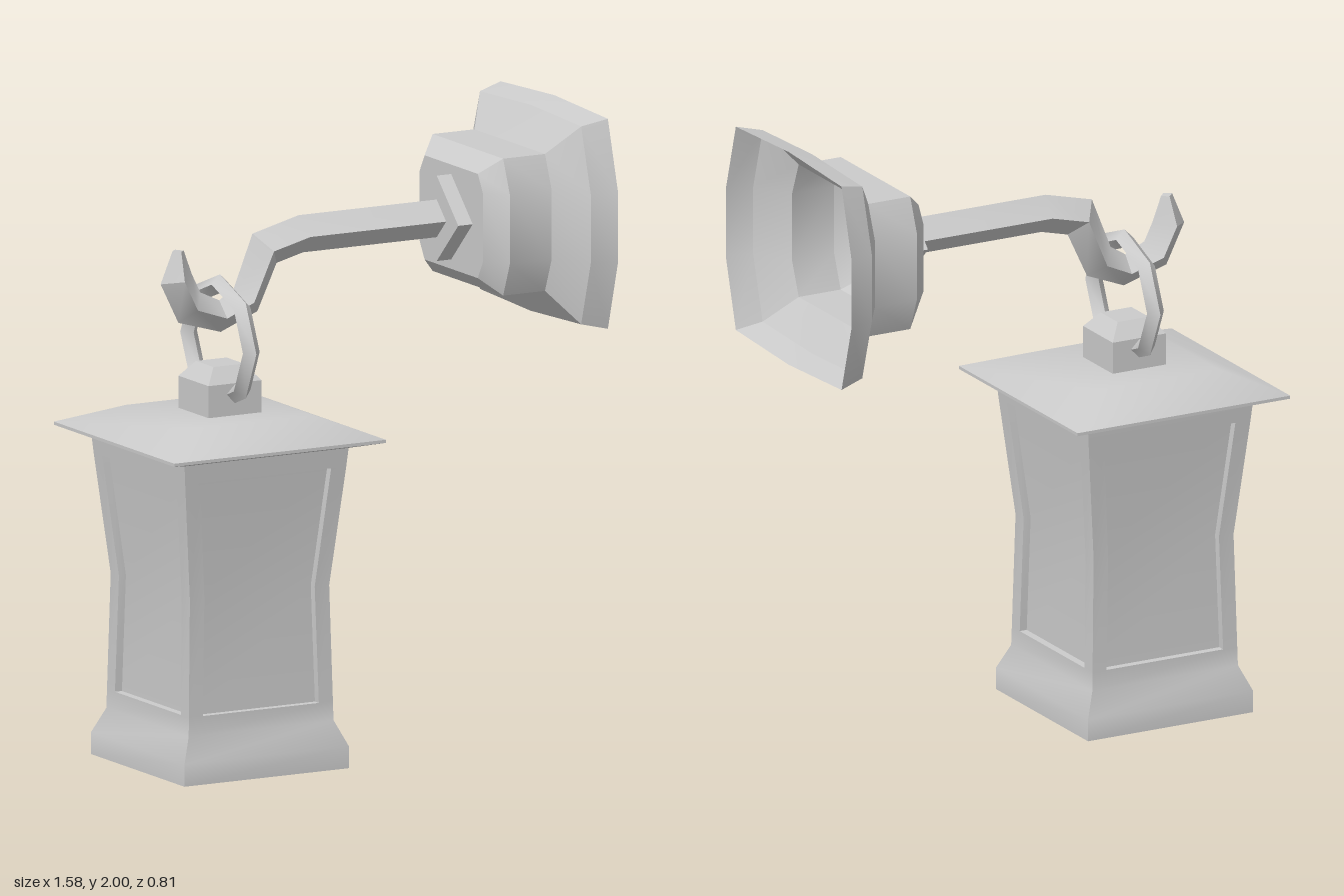
import * as THREE from 'three';
import { toCreasedNormals } from 'three/addons/utils/BufferGeometryUtils.js';

const V = (x, y, z) => new THREE.Vector3(x, y, z);
const AXIS_X = -0.41; // vertical axis of the hanging lantern
const ARM_Y = 1.65; // height of the arm and wall mount

function fromTriangles(points) {
  return toCreasedNormals(new THREE.BufferGeometry().setFromPoints(points), 0.6);
}

function quad(out, a, b, c, d) {
  out.push(a, b, c, a, c, d);
}

// Skin a row of equal-length rings, closing the ends where asked
function loft(rings, capStart = true, capEnd = true) {
  const out = [];
  const n = rings[0].length;
  for (let i = 0; i < rings.length - 1; i++) {
    for (let j = 0; j < n; j++) {
      const k = (j + 1) % n;
      quad(out, rings[i][j], rings[i][k], rings[i + 1][k], rings[i + 1][j]);
    }
  }
  const last = rings[rings.length - 1];
  for (let j = 1; j < n - 1; j++) {
    if (capStart) out.push(rings[0][0], rings[0][j + 1], rings[0][j]);
    if (capEnd) out.push(last[0], last[j], last[j + 1]);
  }
  return fromTriangles(out);
}

function squareRing([h, y]) {
  return [V(h, y, h), V(h, y, -h), V(-h, y, -h), V(-h, y, h)];
}

// One side of the lantern body: frame, window reveal and recessed pane
function lanternSide() {
  const out = [];
  const depth = 0.025;
  const P = (x, [w, y], inset = 0) => V(x, y, w - inset);
  const base = [[0.295, 0], [0.295, 0.07], [0.26, 0.15], [0.2585, 0.21]];
  const opening = [[0.2585, 0.21, 0.208], [0.25, 0.58, 0.198], [0.289, 0.96, 0.235]];
  const top = [[0.289, 0.96], [0.295, 1.025]];
  for (const rows of [base, top]) {
    for (let i = 0; i < rows.length - 1; i++) {
      const [a, b] = [rows[i], rows[i + 1]];
      quad(out, P(-a[0], a), P(a[0], a), P(b[0], b), P(-b[0], b));
    }
  }
  for (let i = 0; i < 2; i++) {
    const [a, b] = [opening[i], opening[i + 1]];
    const [p, q] = [a[2], b[2]];
    // stiles
    quad(out, P(-a[0], a), P(-p, a), P(-q, b), P(-b[0], b));
    quad(out, P(p, a), P(a[0], a), P(b[0], b), P(q, b));
    // reveals and pane
    quad(out, P(-p, a), P(-p, a, depth), P(-q, b, depth), P(-q, b));
    quad(out, P(p, a, depth), P(p, a), P(q, b), P(q, b, depth));
    quad(out, P(-p, a, depth), P(p, a, depth), P(q, b, depth), P(-q, b, depth));
  }
  // sill and head of the window
  const [s, , h] = opening;
  quad(out, P(-s[2], s), P(s[2], s), P(s[2], s, depth), P(-s[2], s, depth));
  quad(out, P(-h[2], h, depth), P(h[2], h, depth), P(h[2], h), P(-h[2], h));
  return fromTriangles(out);
}

// Diamond bar swept along a path of [x, y, radius] with mitred corners
function diamondBar(path) {
  const rings = path.map(([x, y, r], i) => {
    const prev = path[Math.max(i - 1, 0)];
    const next = path[Math.min(i + 1, path.length - 1)];
    const d1 = new THREE.Vector2(x - prev[0], y - prev[1]).normalize();
    const d2 = new THREE.Vector2(next[0] - x, next[1] - y).normalize();
    const d = d1.clone().add(d2).normalize();
    const miter = r / Math.max(d.dot(d1), d.dot(d2));
    const nx = d.y * miter;
    const ny = -d.x * miter;
    return [V(x, y, r), V(x + nx, y + ny, 0), V(x, y, -r), V(x - nx, y - ny, 0)];
  });
  return loft(rings);
}

// Ten-sided outline of the wall mount at one depth
function mountRing([x, hz, hy]) {
  const c = hy - Math.max(0, hy - 0.22) * 0.12;
  const half = [[hz, 0.11], [0.84 * hz, c], [0, hy], [-0.84 * hz, c], [-hz, 0.11]];
  return [...half, ...half.map(([z, y]) => [-z, -y])].map(([z, y]) => V(x, ARM_Y + y, z));
}

export function createModel() {
  const model = new THREE.Group();
  const grey = new THREE.MeshStandardMaterial({ color: 0xcccccc });
  const greyDouble = new THREE.MeshStandardMaterial({ color: 0xcccccc, side: THREE.DoubleSide });
  const add = (parent, name, geometry, material = grey) => {
    const mesh = new THREE.Mesh(geometry, material);
    mesh.name = name;
    parent.add(mesh);
    return mesh;
  };

  // Lantern: four windowed sides, floor, roof and top knob
  const lantern = new THREE.Group();
  lantern.name = 'lantern';
  lantern.position.x = AXIS_X;
  model.add(lantern);
  const side = lanternSide();
  for (let i = 0; i < 4; i++) {
    add(lantern, 'lanternSide', side).rotation.y = (i * Math.PI) / 2;
  }
  const floor = add(lantern, 'lanternFloor', new THREE.PlaneGeometry(0.59, 0.59));
  floor.rotation.x = Math.PI / 2;
  add(lantern, 'roof', loft([[0.295, 1.02], [0.38, 1.042], [0.38, 1.052], [0.215, 1.118]].map(squareRing)));
  add(lantern, 'knob', loft([[0.095, 1.1], [0.095, 1.22], [0.055, 1.27]].map(squareRing)));

  // Hanging ring, standing across the arm
  const ringGeometry = toCreasedNormals(new THREE.TorusGeometry(0.185, 0.03, 4, 8), 0.6);
  const ring = add(lantern, 'hangingRing', ringGeometry);
  ring.rotation.y = Math.PI / 2;
  ring.scale.x = 1.07;
  ring.position.y = 1.335;

  // Arm ending in an upturned hook
  add(model, 'armHook', diamondBar([
    [0.43, ARM_Y, 0.06], [-0.12, ARM_Y, 0.06], [-0.25, 1.617, 0.06],
    [-0.318, 1.46, 0.055], [-0.41, 1.417, 0.047], [-0.52, 1.455, 0.055],
    [-0.567, 1.55, 0.055], [-0.56, 1.64, 0.02],
  ]));

  // Diamond plate where the arm meets the mount
  const plate = add(model, 'armPlate', toCreasedNormals(new THREE.CylinderGeometry(0.136, 0.136, 0.055, 4), 0.6));
  plate.rotation.z = Math.PI / 2;
  plate.position.set(0.3955, ARM_Y, 0);

  // Hollow stepped wall mount, open at the back
  const steps = [[0.79, 0.403, 0.35], [0.705, 0.38, 0.328], [0.63, 0.265, 0.218], [0.48, 0.265, 0.218], [0.42, 0.2, 0.166]];
  add(model, 'wallMount', loft(steps.map(mountRing), false, true), greyDouble);

  return model;
}
